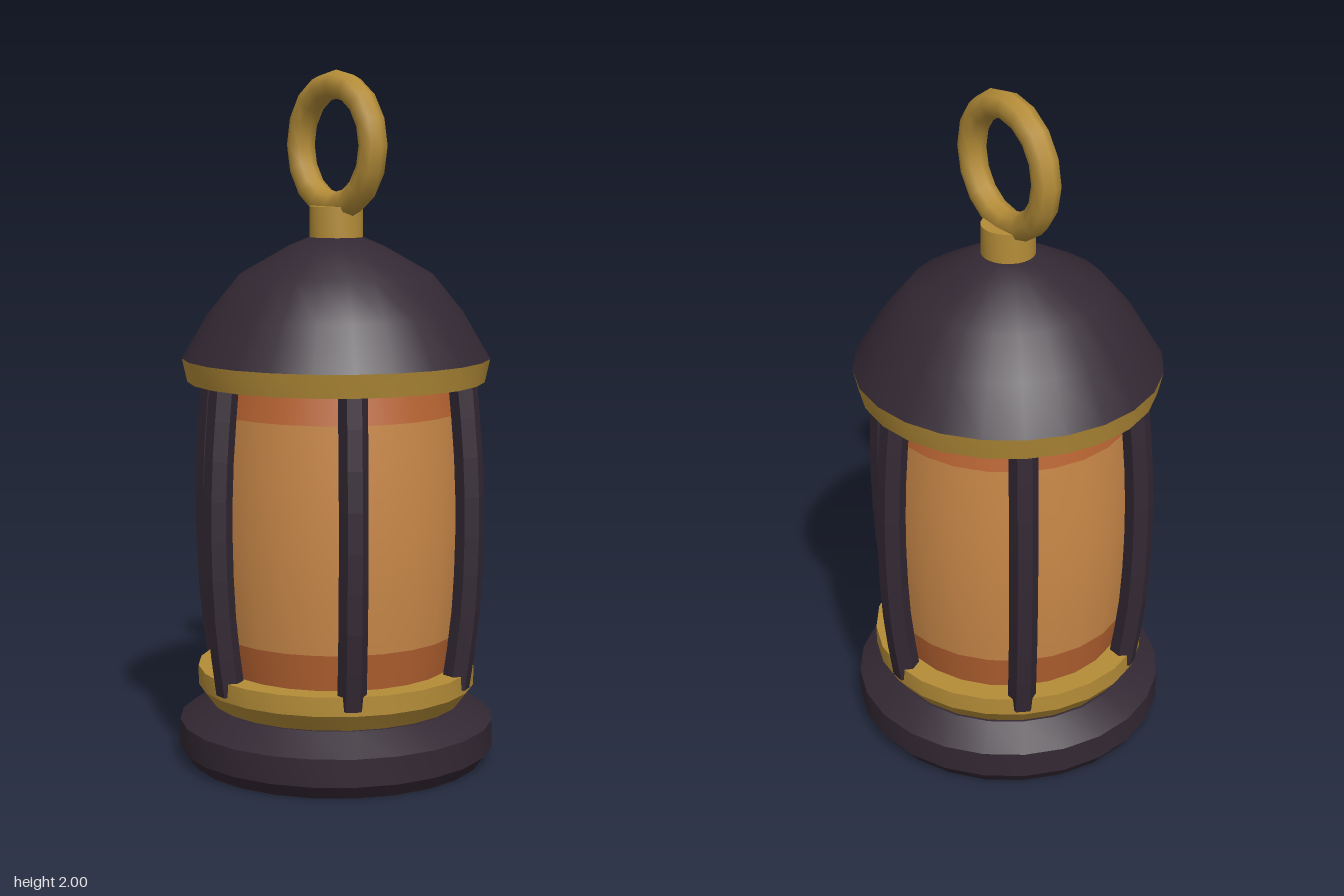
import * as THREE from 'three';
import { toCreasedNormals } from 'three/addons/utils/BufferGeometryUtils.js';

const material = (name, color) => {
  const m = new THREE.MeshStandardMaterial({ color });
  m.name = name;
  return m;
};

export function createModel() {
  const iron = material('dark iron', 0x332833);
  const brass = material('brass', 0xb58d38);
  const glass = material('amber glass', 0xc98848);
  const amber = material('deep amber glass', 0xb86432);

  const model = new THREE.Group();
  model.name = 'lantern';

  const add = (name, geometry, mat, parent = model) => {
    const mesh = new THREE.Mesh(geometry, mat);
    mesh.name = name;
    parent.add(mesh);
    return mesh;
  };

  // Turned part from [radius, height] pairs, bottom to top
  const turned = (name, points, mat, crease = 0.5) => {
    const lathe = new THREE.LatheGeometry(points.map(([r, y]) => new THREE.Vector2(r, y)), 24);
    return add(name, crease ? toCreasedNormals(lathe, crease) : lathe, mat);
  };

  // Foot and lower collar
  turned('base', [[0, 0], [0.43, 0], [0.46, 0.04], [0.46, 0.12], [0.375, 0.175], [0, 0.175]], iron);
  turned('lowerCollar', [[0.36, 0.165], [0.405, 0.225], [0.405, 0.28], [0.3, 0.28]], brass);

  // Barrel-shaped glass with a darker band at each end
  turned('lowerGlassBand', [[0.335, 0.27], [0.357, 0.385]], amber, 0);
  turned('glass', [[0.357, 0.385], [0.371, 0.54], [0.375, 0.7], [0.371, 0.87], [0.36, 1.03]], glass, 0);
  turned('upperGlassBand', [[0.36, 1.03], [0.34, 1.13]], amber, 0);

  // Upper collar and domed roof
  turned('upperCollar', [[0.3, 1.115], [0.43, 1.115], [0.445, 1.182], [0.3, 1.182]], brass);
  turned('roof', [[0.445, 1.182], [0.37, 1.31], [0.28, 1.42], [0.14, 1.5], [0.07, 1.53], [0, 1.53]], iron, 0);

  // Six bowed bars of hexagonal section
  const hexagon = new THREE.Shape(Array.from({ length: 6 }, (_, i) => {
    const a = (i * Math.PI) / 3;
    return new THREE.Vector2(0.041 * Math.cos(a), 0.041 * Math.sin(a));
  }));
  const bow = new THREE.CatmullRomCurve3(
    [[0.374, 0.243], [0.402, 0.45], [0.413, 0.7], [0.407, 0.92], [0.387, 1.14]]
      .map(([x, y]) => new THREE.Vector3(x, y, 0)));
  const barGeometry = new THREE.ExtrudeGeometry(hexagon, { steps: 8, extrudePath: bow });
  const bars = new THREE.Group();
  bars.name = 'bars';
  model.add(bars);
  for (let i = 0; i < 6; i++) {
    add('bar', barGeometry, iron, bars).rotation.y = -Math.PI / 2 + (i * Math.PI) / 3;
  }

  // Finial and carrying ring
  turned('finial', [[0.077, 1.51], [0.077, 1.615], [0, 1.615]], brass);
  add('carryingRing', new THREE.TorusGeometry(0.172, 0.041, 8, 16), brass).position.y = 1.787;

  return model;
}
